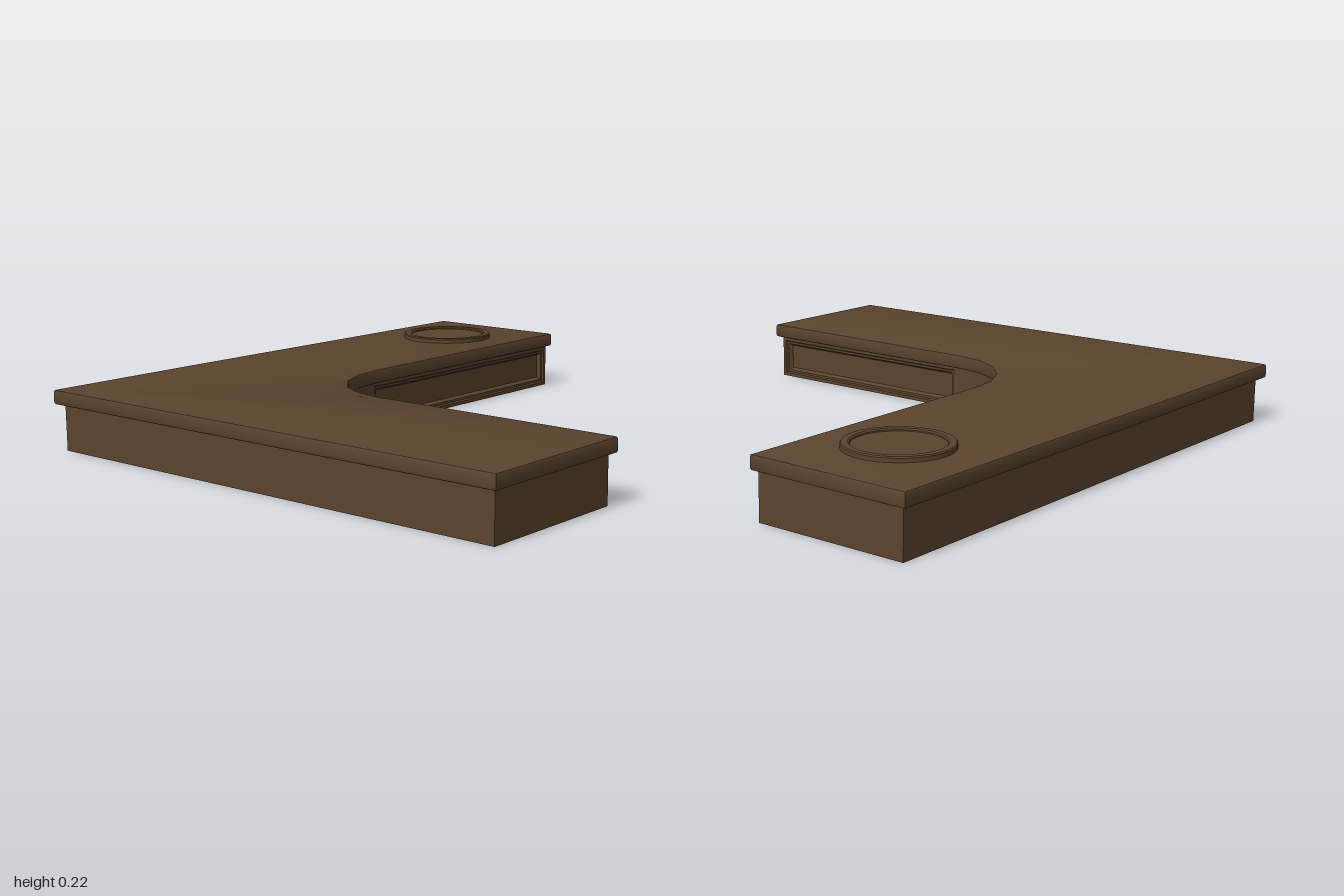
import * as THREE from 'three';
import { toCreasedNormals } from 'three/addons/utils/BufferGeometryUtils.js';

const wood = new THREE.MeshStandardMaterial({ color: 0x5c442e });
wood.name = 'brown wood';

function addMesh(group, name, geometry) {
  const mesh = new THREE.Mesh(toCreasedNormals(geometry, 0.6), wood);
  mesh.name = name;
  group.add(mesh);
  return mesh;
}

// Quarter curve of the inside corner, from the right wing to the left wing
function innerCurve(cx, cz, rx, rz, segments) {
  const points = [];
  for (let i = 0; i <= segments; i++) {
    const a = (i / segments) * Math.PI / 2;
    points.push([cx - rx * Math.sin(a), cz - rz * Math.cos(a)]);
  }
  return points;
}

// Plan outline (x, z) extruded between two heights
function planSlab(outline, bottom, top, bevel) {
  const shape = new THREE.Shape(outline.map(([x, z]) => new THREE.Vector2(x, z)));
  const geometry = new THREE.ExtrudeGeometry(shape, {
    depth: top - bottom - 2 * bevel,
    bevelEnabled: bevel > 0,
    bevelSize: bevel,
    bevelThickness: bevel,
    bevelOffset: -bevel,
    bevelSegments: 2,
  });
  geometry.rotateX(Math.PI / 2);
  geometry.translate(0, top - bevel, 0);
  return geometry;
}

// Framed recessed panel facing +z, lofted through nested rectangles [inset, depth]
function framedPanel(width, height) {
  const steps = [[0, -0.025], [0, 0], [0.012, 0], [0.016, -0.006], [0.024, -0.006], [0.032, -0.02]];
  const positions = [];
  const index = [];
  steps.forEach(([inset, z], k) => {
    const x = width / 2 - inset;
    const y = height / 2 - inset;
    positions.push(-x, -y, z, x, -y, z, x, y, z, -x, y, z);
    if (k === 0) return;
    for (let i = 0; i < 4; i++) {
      const j = (i + 1) % 4;
      const a = (k - 1) * 4;
      const b = k * 4;
      index.push(a + i, a + j, b + j, a + i, b + j, b + i);
    }
  });
  const last = (steps.length - 1) * 4;
  index.push(last, last + 1, last + 2, last, last + 2, last + 3);
  const geometry = new THREE.BufferGeometry();
  geometry.setAttribute('position', new THREE.Float32BufferAttribute(positions, 3));
  geometry.setIndex(index);
  return geometry;
}

export function createModel() {
  const model = new THREE.Group();
  model.name = 'cornerCounter';

  // Overhanging worktop
  addMesh(model, 'worktop', planSlab([
    [-0.997, -0.91], [-0.4, -0.914], [0.997, -0.908], [0.995, -0.348],
    ...innerCurve(-0.06, 0, 0.36, 0.338, 5),
    [-0.427, 0.91], [-0.993, 0.91],
  ], 0.155, 0.205, 0.008));

  // Base, set back where the panels sit
  addMesh(model, 'base', planSlab([
    [-0.972, -0.885], [0.975, -0.885], [0.975, -0.383], [-0.06, -0.383],
    ...innerCurve(-0.06, 0.03, 0.385, 0.39, 8),
    [-0.468, 0.03], [-0.468, 0.89], [-0.972, 0.89],
  ], 0, 0.156, 0));

  // Framed panels on the two inside faces
  const rightPanel = addMesh(model, 'rightWingPanel', framedPanel(1.035, 0.153));
  rightPanel.position.set(0.4575, 0.0765, -0.36);
  const leftPanel = addMesh(model, 'leftWingPanel', framedPanel(0.86, 0.153));
  leftPanel.rotation.y = Math.PI / 2;
  leftPanel.position.set(-0.445, 0.0765, 0.46);

  // Round raised ring with a slightly sunken plate
  const profile = [[0.168, 0], [0.168, 0.014], [0.165, 0.018], [0.145, 0.018], [0.14, 0.014], [0.14, 0.01], [0, 0.01]];
  const ring = addMesh(model, 'roundInset', new THREE.LatheGeometry(
    profile.map(([r, y]) => new THREE.Vector2(r, y)), 40));
  ring.position.set(0.672, 0.204, -0.62);

  return model;
}
